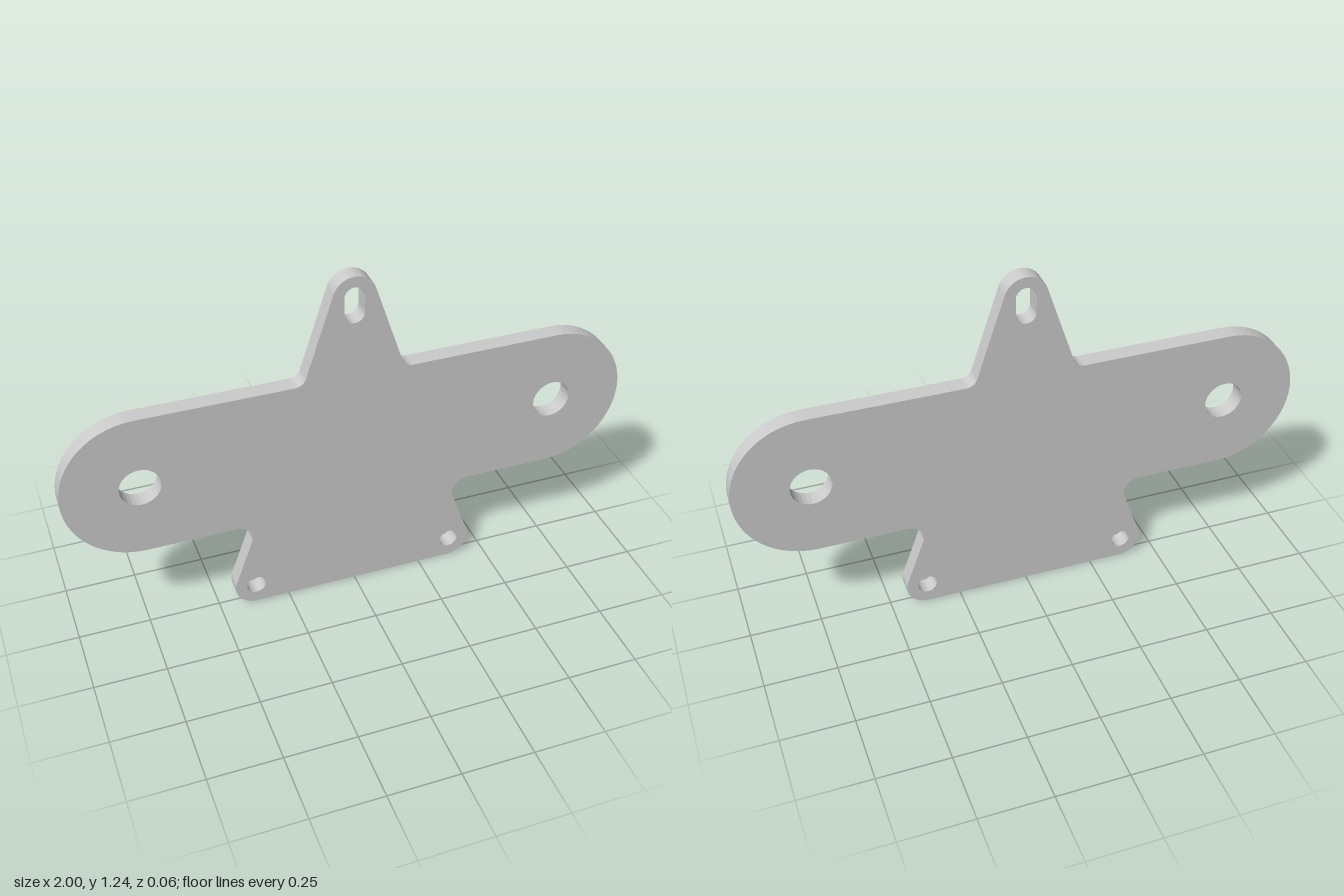
import * as THREE from 'three';

const THICKNESS = 0.062;
const HALF = Math.PI / 2;
const TAPER = 0.32; // lean of the slanted edges

// Rounded corners of the right half, counter-clockwise: x, y, radius, start, end, clockwise
const corners = [
  [0.368, 0.075, 0.075, -HALF, TAPER, false],              // foot lobe
  [0.428, 0.29, 0.055, Math.PI + TAPER, HALF, true],       // fillet under the bar
  [0.736, 0.609, 0.264, -HALF, HALF, false],               // rounded bar end
  [0.205, 0.912, 0.04, -HALF, -Math.PI + TAPER, true],     // fillet at the tab
];

function roundHole(x, y, r) {
  return new THREE.Path().absarc(x, y, r, 0, Math.PI * 2, true);
}

function slotHole(x, y0, y1, r) {
  const slot = new THREE.Path();
  slot.absarc(x, y1, r, 0, Math.PI, false);
  slot.absarc(x, y0, r, Math.PI, Math.PI * 2, false);
  slot.closePath();
  return slot;
}

export function createModel() {
  const group = new THREE.Group();
  group.name = 'mountingPlate';

  // Outline: right side upwards, tab tip, then the mirrored left side downwards
  const outline = new THREE.Shape();
  for (const c of corners) outline.absarc(...c);
  outline.absarc(0, 1.168, 0.075, TAPER, Math.PI - TAPER, false);
  for (const [x, y, r, start, end, clockwise] of [...corners].reverse()) {
    outline.absarc(-x, y, r, Math.PI - end, Math.PI - start, clockwise);
  }
  outline.closePath();

  // Bolt holes in the bar ends and feet, slot in the tab
  for (const side of [1, -1]) {
    outline.holes.push(roundHole(side * 0.737, 0.609, 0.07));
    outline.holes.push(roundHole(side * 0.368, 0.075, 0.034));
  }
  outline.holes.push(slotHole(0, 1.11, 1.17, 0.035));

  const geometry = new THREE.ExtrudeGeometry(outline, {
    depth: THICKNESS, bevelEnabled: false, curveSegments: 14,
  });
  geometry.translate(0, 0, -THICKNESS / 2);

  const plate = new THREE.Mesh(geometry, new THREE.MeshStandardMaterial({ color: 0xcccccc }));
  plate.name = 'plate';
  group.add(plate);
  return group;
}
